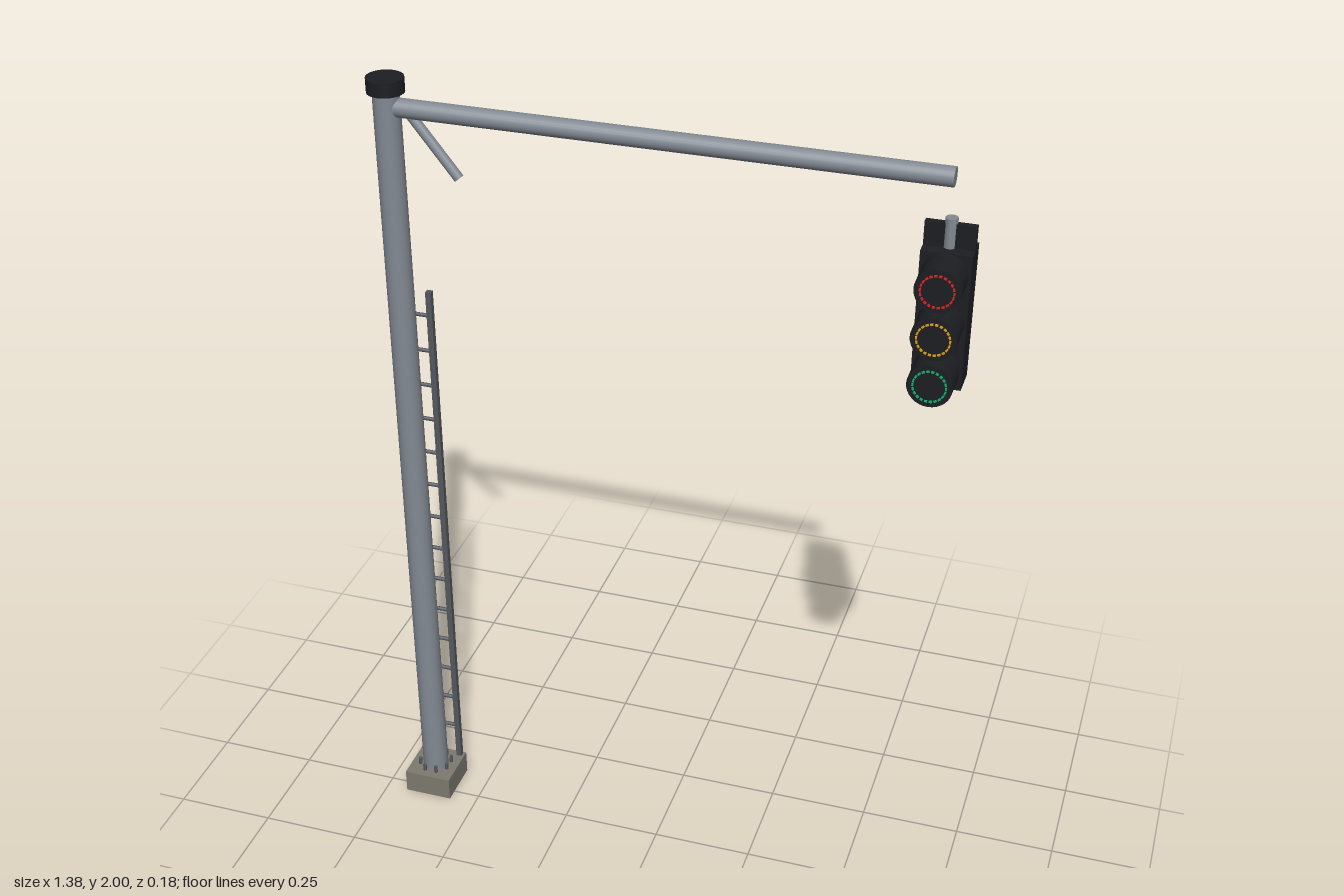
import * as THREE from 'three';

const mat = (color) => new THREE.MeshStandardMaterial({ color });
const steel = mat(0x838a93), darkSteel = mat(0x55595f), concrete = mat(0x7d7a70), black = mat(0x1c1e22);
const POLE_X = -0.632, SIGNAL_X = 0.633, Z = -0.03;

function add(parent, name, geometry, material, x, y, z) {
  const mesh = new THREE.Mesh(geometry, material);
  mesh.name = name;
  mesh.position.set(x, y, z);
  parent.add(mesh);
  return mesh;
}

// Round bar between two points
function bar(parent, name, from, to, radius, material, sides = 24) {
  const a = new THREE.Vector3(...from), b = new THREE.Vector3(...to);
  const dir = b.clone().sub(a);
  const mid = a.clone().add(b).multiplyScalar(0.5);
  const mesh = add(parent, name, new THREE.CylinderGeometry(radius, radius, dir.length(), sides), material, mid.x, mid.y, mid.z);
  mesh.quaternion.setFromUnitVectors(new THREE.Vector3(0, 1, 0), dir.normalize());
  return mesh;
}

function makePole() {
  const pole = new THREE.Group();
  pole.name = 'pole';
  add(pole, 'base', new THREE.BoxGeometry(0.124, 0.062, 0.124), concrete, POLE_X, 0.031, Z);
  add(pole, 'mast', new THREE.CylinderGeometry(0.031, 0.033, 1.91, 32), steel, POLE_X, 1.015, Z);
  add(pole, 'cap', new THREE.CylinderGeometry(0.043, 0.043, 0.034, 32), black, POLE_X, 1.983, Z);
  // Anchor bolts around the foot of the mast
  for (let i = 0; i < 8; i++) {
    const a = (i + 0.5) * Math.PI / 4;
    add(pole, 'anchorBolt', new THREE.CylinderGeometry(0.005, 0.005, 0.022, 8), darkSteel,
      POLE_X + 0.041 * Math.cos(a), 0.07, Z + 0.041 * Math.sin(a));
  }
  // Cantilever arm and its brace
  bar(pole, 'arm', [POLE_X + 0.01, 1.932, Z], [SIGNAL_X, 1.932, Z], 0.022, steel);
  bar(pole, 'brace', [-0.588, 1.933, Z], [-0.469, 1.782, Z], 0.012, steel, 16);
  return pole;
}

function makeLadder() {
  const ladder = new THREE.Group();
  ladder.name = 'ladder';
  const z = -0.081;
  for (const side of [-1, 1]) {
    add(ladder, 'rail', new THREE.BoxGeometry(0.014, 1.4, 0.014), darkSteel, POLE_X + side * 0.048, 0.76, z);
  }
  for (let i = 0; i < 14; i++) {
    const y = 0.162 + i * 0.0949;
    bar(ladder, 'rung', [POLE_X - 0.048, y, z], [POLE_X + 0.048, y, z], 0.005, darkSteel, 8);
  }
  return ladder;
}

function makeSignal() {
  const signal = new THREE.Group();
  signal.name = 'trafficSignal';
  add(signal, 'housing', new THREE.BoxGeometry(0.111, 0.317, 0.074), black, SIGNAL_X, 1.617, -0.031);
  add(signal, 'mountPlate', new THREE.BoxGeometry(0.111, 0.06, 0.015), black, SIGNAL_X, 1.8, Z);
  add(signal, 'hanger', new THREE.CylinderGeometry(0.014, 0.014, 0.07, 16), steel, SIGNAL_X, 1.807, Z);

  const colors = [0xe02020, 0xe0a010, 0x10b070];
  colors.forEach((color, i) => {
    const lamp = new THREE.Group();
    lamp.name = 'lamp';
    lamp.position.set(SIGNAL_X, 1.726 - i * 0.1115, 0);
    const hood = add(lamp, 'hood', new THREE.CylinderGeometry(0.05, 0.05, 0.084, 32), black, 0, 0, 0.044);
    hood.rotation.x = Math.PI / 2;
    // Ring of small lights on the lamp face
    const light = mat(color);
    for (let k = 0; k < 22; k++) {
      const a = k * Math.PI * 2 / 22;
      const dot = add(lamp, 'light', new THREE.BoxGeometry(0.004, 0.0065, 0.006), light,
        0.036 * Math.cos(a), 0.036 * Math.sin(a), 0.087);
      dot.rotation.z = a;
    }
    signal.add(lamp);
  });
  return signal;
}

export function createModel() {
  const model = new THREE.Group();
  model.name = 'trafficLightPole';
  model.add(makePole(), makeLadder(), makeSignal());
  return model;
}
